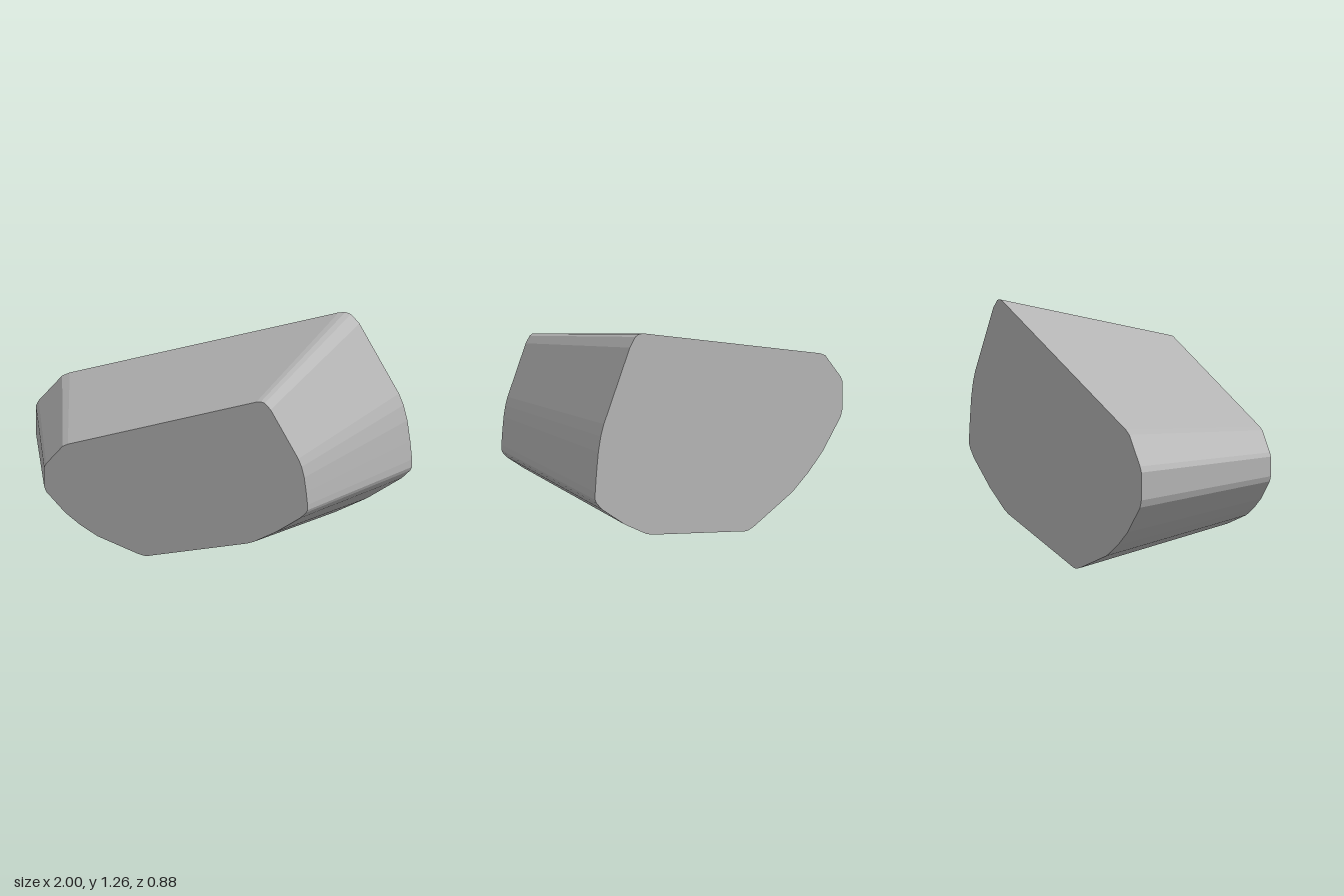
import * as THREE from 'three';

// Outline of the large rear face, counter-clockwise from the bottom tip
const outline = [
  [-0.24, 0], [-0.21, 0.001], [-0.18, 0.008], [0.54, 0.163], [0.59, 0.18], [0.76, 0.27], [0.945, 0.395],
  [0.99, 0.44], [1, 0.46], [1, 0.5], [0.99, 0.6], [0.975, 0.71], [0.955, 0.79], [0.93, 0.85],
  [0.72, 1.21], [0.675, 1.257], [0.645, 1.265], [0.61, 1.26], [-0.82, 0.81], [-0.86, 0.79],
  [-0.985, 0.645], [-1, 0.615], [-1, 0.47], [-0.985, 0.43], [-0.84, 0.28], [-0.725, 0.195],
  [-0.595, 0.12], [-0.285, 0.01],
];
const DEPTH = 0.88;

export function createModel() {
  const group = new THREE.Group();
  group.name = 'taperedStone';

  const stoneGrey = new THREE.MeshStandardMaterial({ color: 0xb4b4b4 });
  stoneGrey.name = 'stone grey';

  const shape = new THREE.Shape(outline.map(([x, y]) => new THREE.Vector2(x, y)));
  const geometry = new THREE.ExtrudeGeometry(shape, { depth: DEPTH, steps: 1, bevelEnabled: false });

  // Shrink the outline towards the front, keeping every side a flat facet
  const p = geometry.attributes.position;
  for (let i = 0; i < p.count; i++) {
    const t = p.getZ(i) / DEPTH;
    const scale = 1 - 0.3 * t;
    p.setXYZ(i, p.getX(i) * scale - 0.015 * t, p.getY(i) * scale + 0.158 * t, p.getZ(i) - DEPTH / 2);
  }
  geometry.computeVertexNormals();

  const body = new THREE.Mesh(geometry, stoneGrey);
  body.name = 'stoneBody';
  group.add(body);
  return group;
}
